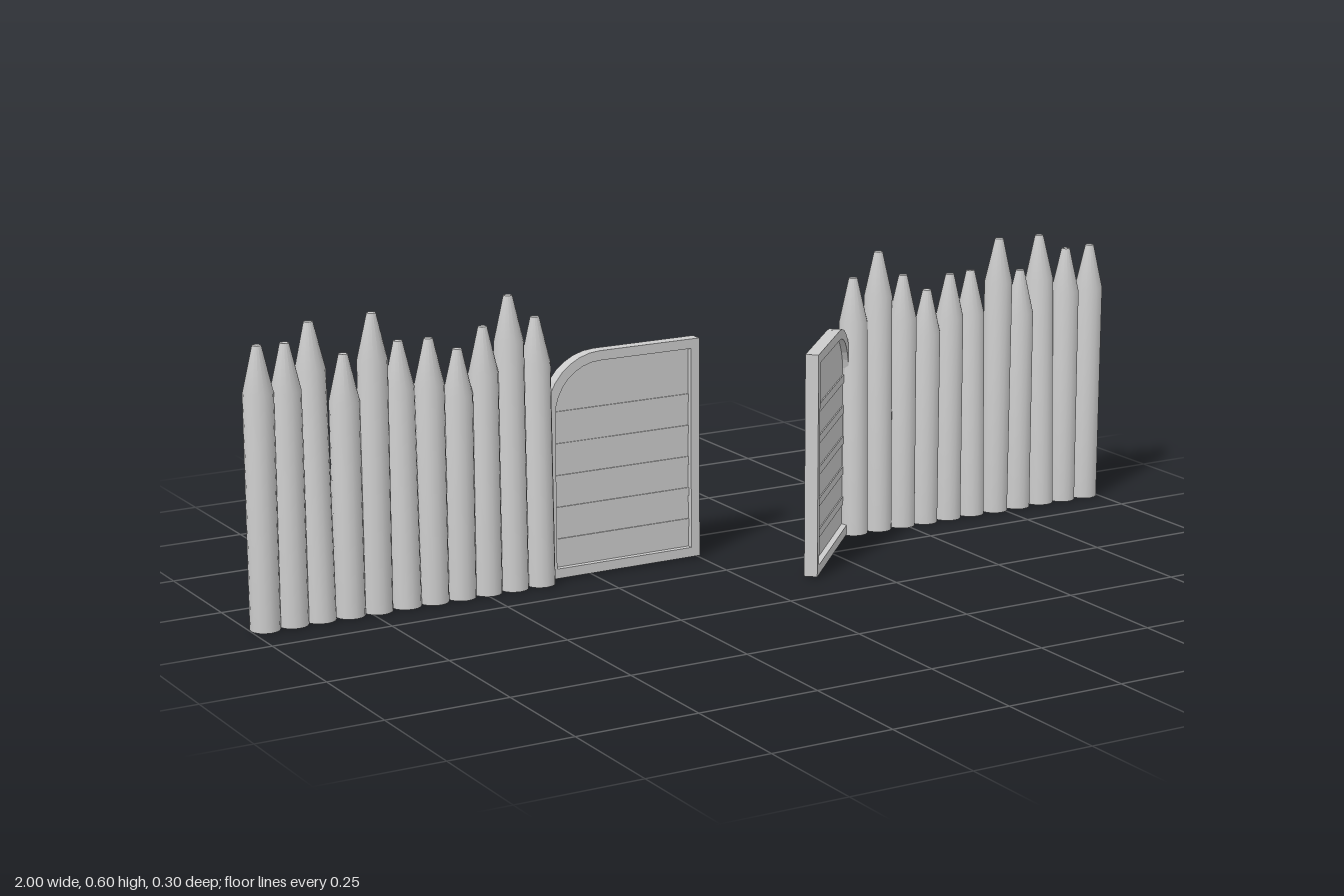
import * as THREE from 'three';
import { toCreasedNormals } from 'three/addons/utils/BufferGeometryUtils.js';

const material = new THREE.MeshStandardMaterial({ color: 0xcccccc });

function addMesh(parent, name, geometry) {
  const mesh = new THREE.Mesh(geometry, material);
  mesh.name = name;
  parent.add(mesh);
  return mesh;
}

// Sharpened log: straight shaft, tapered point with a small flat tip
function stakeGeometry(height) {
  const profile = [[0, 0], [0.03, 0], [0.03, height - 0.093], [0.009, height], [0, height]];
  const lathe = new THREE.LatheGeometry(profile.map(([r, y]) => new THREE.Vector2(r, y)), 16);
  return toCreasedNormals(lathe, 0.45);
}

// Each stake from the gate outwards: [x, height, z of the tip]
const STAKES = [
  [0.373, 0.55, -0.114], [0.433, 0.6, -0.111], [0.492, 0.545, -0.106], [0.55, 0.508, -0.102],
  [0.61, 0.535, -0.105], [0.67, 0.535, -0.116], [0.732, 0.6, -0.1], [0.791, 0.525, -0.105],
  [0.853, 0.592, -0.124], [0.911, 0.56, -0.106], [0.97, 0.563, -0.1],
];
const BASE_Z = -0.103;

function createFence(side) {
  const fence = new THREE.Group();
  fence.name = side > 0 ? 'leftFence' : 'rightFence';
  for (const [x, height, tipZ] of STAKES) {
    const stake = addMesh(fence, 'stake', stakeGeometry(height - 0.002));
    stake.position.set(side * x, 0.002, BASE_Z);
    stake.rotation.x = Math.atan2(tipZ - BASE_Z, height);
  }
  return fence;
}

// Gate outline, hinge at x = 0, with the upper hinge corner rounded
const GATE = { width: 0.352, bottom: 0.005, top: 0.465, radius: 0.122, thickness: 0.027, rim: 0.02 };

function traceGate(path, inset) {
  const r = GATE.radius - inset;
  const x0 = inset, x1 = GATE.width - inset;
  const y0 = GATE.bottom + inset, y1 = GATE.top - inset;
  path.moveTo(x0, y0);
  path.lineTo(x1, y0);
  path.lineTo(x1, y1);
  path.lineTo(x0 + r, y1);
  path.absarc(x0 + r, y1 - r, r, Math.PI / 2, Math.PI, false);
  path.closePath();
  return path;
}

function extrudeCentred(shape, depth) {
  return new THREE.ExtrudeGeometry(shape, { depth, bevelEnabled: false, curveSegments: 4 })
    .translate(0, 0, -depth / 2);
}

function createGate(name) {
  const gate = new THREE.Group();
  gate.name = name;

  // Raised rim around the gate
  const rim = traceGate(new THREE.Shape(), 0);
  rim.holes.push(traceGate(new THREE.Path(), GATE.rim));
  addMesh(gate, 'gateFrame', extrudeCentred(rim, GATE.thickness));

  // Thin recessed panel
  addMesh(gate, 'gatePanel', extrudeCentred(traceGate(new THREE.Shape(), GATE.rim), 0.002));

  // Horizontal battens showing on both faces
  const length = GATE.width - 2 * GATE.rim;
  for (let i = 0; i < 5; i++) {
    const batten = addMesh(gate, 'batten', new THREE.BoxGeometry(length, 0.017, 0.007));
    batten.position.set(GATE.width / 2, 0.076 + i * 0.066, 0);
  }
  return gate;
}

export function createModel() {
  const model = new THREE.Group();
  model.name = 'palisadeGate';
  model.add(createFence(1), createFence(-1));

  // Closed gate leaf
  const closed = createGate('closedGate');
  closed.position.set(-GATE.width, 0, -0.122);
  model.add(closed);

  // Gate leaf swung open towards the front
  const open = createGate('openGate');
  open.position.set(0.356, 0, -0.119);
  open.rotation.y = Math.PI + 0.82;
  model.add(open);

  return model;
}
